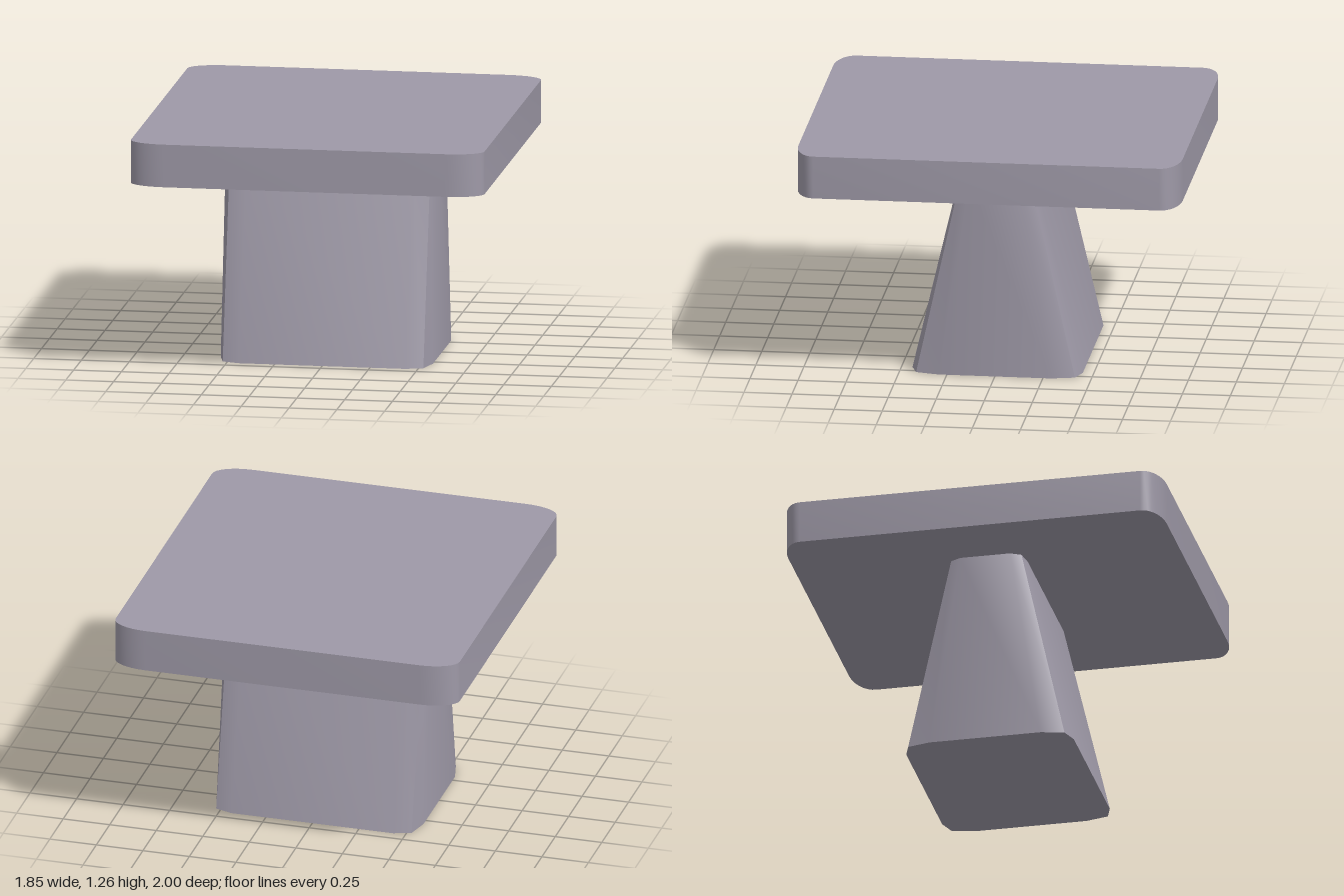
import * as THREE from 'three';
import { toCreasedNormals } from 'three/addons/utils/BufferGeometryUtils.js';

const material = new THREE.MeshStandardMaterial({ color: 0x9e99a7 });

// Corner points as insets [x, z] from the outer corner, running from side to front
function ellipseCorner(rx, rz, segments) {
  return Array.from({ length: segments + 1 }, (_, i) => {
    const a = (i / segments) * Math.PI / 2;
    return [rx * (1 - Math.cos(a)), rz * (1 - Math.sin(a))];
  });
}

// Upright block with shaped corners; its depth may narrow towards the top
function corneredBlock(name, { halfX, halfZ, corner, bottom, top, topDepth = 1 }) {
  const points = [];
  for (const [sx, sz] of [[1, 1], [-1, 1], [-1, -1], [1, -1]]) {
    const insets = sx === sz ? corner : [...corner].reverse();
    for (const [dx, dz] of insets) points.push(new THREE.Vector2(sx * (halfX - dx), sz * (halfZ - dz)));
  }
  const height = top - bottom;
  const geometry = new THREE.ExtrudeGeometry(new THREE.Shape(points), { depth: height, bevelEnabled: false });
  geometry.rotateX(-Math.PI / 2);

  const p = geometry.attributes.position;
  for (let i = 0; i < p.count; i++) {
    p.setZ(i, p.getZ(i) * THREE.MathUtils.lerp(1, topDepth, p.getY(i) / height));
  }
  geometry.translate(0, bottom, 0);

  const mesh = new THREE.Mesh(toCreasedNormals(geometry, 0.63), material);
  mesh.name = name;
  return mesh;
}

export function createModel() {
  const table = new THREE.Group();
  table.name = 'pedestalTable';

  // Tapered pedestal with one crisp edge at each corner
  table.add(corneredBlock('pedestal', {
    halfX: 0.555, halfZ: 0.443, corner: [[0, 0.15], [0.03, 0.03], [0.12, 0]],
    bottom: 0, top: 1.035, topDepth: 0.45,
  }));

  // Thick top slab with soft corners
  table.add(corneredBlock('tableTop', {
    halfX: 0.925, halfZ: 1, corner: ellipseCorner(0.19, 0.1, 8),
    bottom: 1.035, top: 1.26,
  }));

  return table;
}
